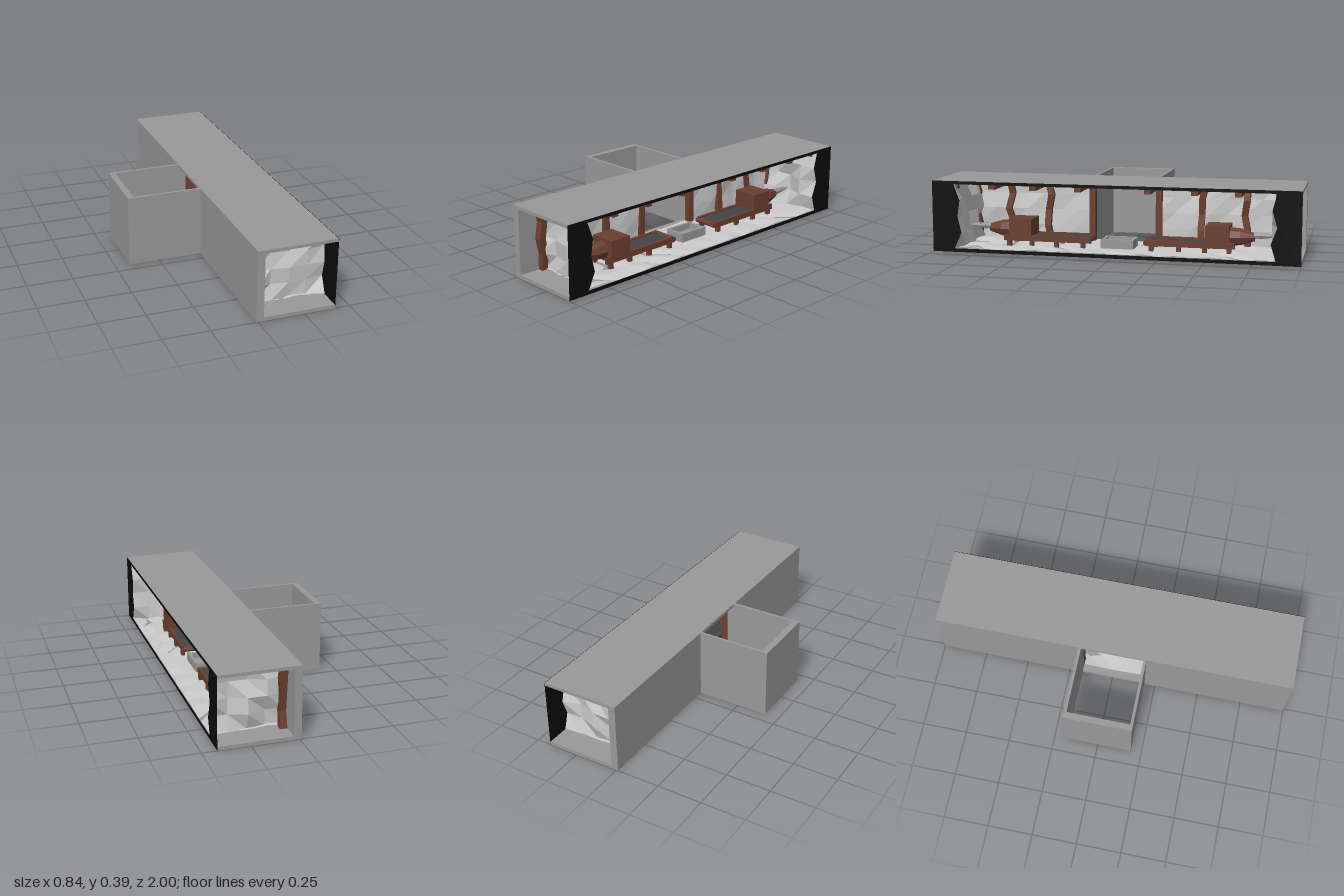
import * as THREE from 'three';

const mat = (color, extra = {}) => new THREE.MeshStandardMaterial({ color, ...extra });
const STONE = mat(0x999999);
const ROCK = mat(0xcccccc, { flatShading: true, side: THREE.DoubleSide });
const WOOD = mat(0x6b3f30, { flatShading: true });
const BELT = mat(0x444444);
const BLACK = mat(0x0c0c0c, { side: THREE.DoubleSide });

// Seeded noise in -1..1
let seed = 7;
const rnd = () => {
  seed = (seed * 16807) % 2147483647;
  return (seed / 2147483647) * 2 - 1;
};

function add(parent, name, geometry, material, x = 0, y = 0, z = 0) {
  const mesh = new THREE.Mesh(geometry, material);
  mesh.name = name;
  mesh.position.set(x, y, z);
  parent.add(mesh);
  return mesh;
}

// Box given by its extents
function box(parent, name, material, x0, x1, y0, y1, z0, z1) {
  return add(parent, name, new THREE.BoxGeometry(x1 - x0, y1 - y0, z1 - z0), material,
    (x0 + x1) / 2, (y0 + y1) / 2, (z0 + z1) / 2);
}

// Plane grid pushed in and out along its normal
function rockSheet(w, h, nx, ny, amp) {
  const g = new THREE.PlaneGeometry(w, h, nx, ny);
  const p = g.attributes.position;
  for (let i = 0; i < p.count; i++) p.setZ(i, rnd() * amp);
  g.computeVertexNormals();
  return g;
}

// Rough post whose inner cross-sections wander
function crookedPost(parent, z, wobble) {
  const g = new THREE.BoxGeometry(0.035, 0.35, 0.036, 1, 4, 1);
  const p = g.attributes.position;
  const dx = [], dz = [];
  for (let k = 0; k < 5; k++) { dx.push(rnd() * wobble * 0.6); dz.push(rnd() * wobble); }
  for (let i = 0; i < p.count; i++) {
    const k = Math.round((p.getY(i) / 0.35 + 0.5) * 4);
    if (p.getX(i) > 0) p.setX(i, p.getX(i) + dx[k]);
    p.setZ(i, p.getZ(i) + dz[k]);
  }
  g.computeVertexNormals();
  add(parent, 'post', g, WOOD, 0.0475, 0.195, z);
}

// Conveyor with a boring machine at its far (+z) end
function createDigger() {
  const d = new THREE.Group();
  d.name = 'diggingMachine';
  for (const s of [-1, 1]) {
    const x = s * 0.064;
    box(d, 'conveyorRail', WOOD, x - 0.008, x + 0.008, 0.05, 0.082, 0.165, 0.64);
    for (const z of [0.19, 0.34, 0.48, 0.61])
      box(d, 'conveyorLeg', WOOD, x - 0.01, x + 0.01, 0.018, 0.055, z - 0.012, z + 0.012);
  }
  box(d, 'conveyorBelt', BELT, -0.058, 0.058, 0.056, 0.074, 0.16, 0.62);
  const roller = add(d, 'endRoller', new THREE.CylinderGeometry(0.015, 0.015, 0.14, 8), WOOD, 0, 0.065, 0.16);
  roller.rotation.z = Math.PI / 2;
  box(d, 'machineBody', WOOD, -0.072, 0.072, 0.062, 0.17, 0.482, 0.61);

  const lathe = (name, pts, material, y, z) => {
    const g = new THREE.LatheGeometry(pts.map(([r, h]) => new THREE.Vector2(r, h)), 8);
    add(d, name, g, material, 0, y, z).rotation.x = Math.PI / 2;
  };
  lathe('machineNose', [[0, 0], [0.05, 0], [0.046, 0.06], [0.022, 0.135], [0, 0.135]], WOOD, 0.108, 0.605);
  // Stepped drill bit
  lathe('drillBit', [[0, 0], [0.019, 0], [0.016, 0.03], [0.02, 0.03], [0.013, 0.065],
    [0.016, 0.065], [0, 0.135]], mat(0x999999, { flatShading: true }), 0.118, 0.735);
  return d;
}

export function createModel() {
  const model = new THREE.Group();
  model.name = 'mineTunnel';

  // Tunnel shell, open on the +x side and at both ends
  box(model, 'base', STONE, -0.01, 0.418, 0, 0.02, -1, 1);
  box(model, 'roof', STONE, -0.01, 0.418, 0.373, 0.39, -1, 1);
  for (const s of [-1, 1]) {
    const a = s * 0.175, b = s * 1;
    box(model, 'backWall', STONE, -0.01, 0.03, 0.02, 0.373, Math.min(a, b), Math.max(a, b));
  }

  // Side shaft, open at the top and bottom
  box(model, 'shaftEnd', STONE, -0.42, -0.385, 0, 0.39, -0.19, 0.19);
  box(model, 'shaftWall', STONE, -0.385, -0.01, 0, 0.39, 0.175, 0.19);
  box(model, 'shaftWall', STONE, -0.385, -0.01, 0, 0.39, -0.19, -0.175);

  // Rock floor
  const floor = add(model, 'rockFloor', rockSheet(0.388, 1.72, 5, 20, 0.006), ROCK, 0.224, 0.024, 0);
  floor.rotation.x = -Math.PI / 2;

  const edges = {};
  for (const s of [-1, 1]) {
    // Rock end wall; its open edge also outlines the black front
    const g = rockSheet(0.39, 0.353, 4, 4, 0.022);
    add(model, 'rockEndWall', g, ROCK, 0.225, 0.1965, s * 0.858);
    edges[s] = [];
    for (let j = 0; j < 5; j++) {
      const i = j * 5 + 4, p = g.attributes.position;
      edges[s].push([s * 0.858 + p.getZ(i), p.getY(i) + 0.1965]);
    }

    // Rock lining of the back wall
    const lining = add(model, 'rockLining', rockSheet(0.68, 0.353, 7, 4, 0.012),
      ROCK, 0.042, 0.1965, s * 0.52);
    lining.rotation.y = Math.PI / 2;

    // Timber frames
    for (const z of [0.19, 0.44, 0.67, 0.88]) {
      crookedPost(model, s * z, z < 0.2 ? 0.001 : 0.016);
      box(model, 'ceilingBeam', WOOD, 0.03, 0.39, 0.345, 0.375, s * z - 0.018, s * z + 0.018);
    }
    box(model, 'longBeam', WOOD, 0.031, 0.064, 0.347, 0.374,
      Math.min(s * 0.172, s * 0.88), Math.max(s * 0.172, s * 0.88));

    const digger = createDigger();
    digger.position.x = 0.213;
    if (s < 0) digger.rotation.y = Math.PI;
    model.add(digger);
  }

  // Black cut face with a jagged window, drawn in (-z, y)
  const face = new THREE.Shape([[-1, 0], [1, 0], [1, 0.39], [-1, 0.39]].map(([a, b]) => new THREE.Vector2(a, b)));
  const rim = [...edges[1], ...edges[-1].slice().reverse()];
  face.holes.push(new THREE.Path(rim.map(([z, y]) => new THREE.Vector2(-z, y))));
  add(model, 'cutFace', new THREE.ShapeGeometry(face), BLACK, 0.42, 0, 0).rotation.y = Math.PI / 2;

  // Open collecting tray between the conveyors
  const tray = new THREE.Group();
  tray.name = 'collectingTray';
  tray.position.x = 0.215;
  box(tray, 'trayFloor', STONE, -0.06, 0.06, 0.025, 0.04, -0.09, 0.09);
  for (const s of [-1, 1]) {
    box(tray, 'traySide', STONE, s * 0.054 - 0.008, s * 0.054 + 0.008, 0.03, 0.075, -0.09, 0.09);
    box(tray, 'trayEnd', STONE, -0.05, 0.05, 0.03, 0.072, s * 0.081 - 0.008, s * 0.081 + 0.008);
  }
  model.add(tray);

  return model;
}
